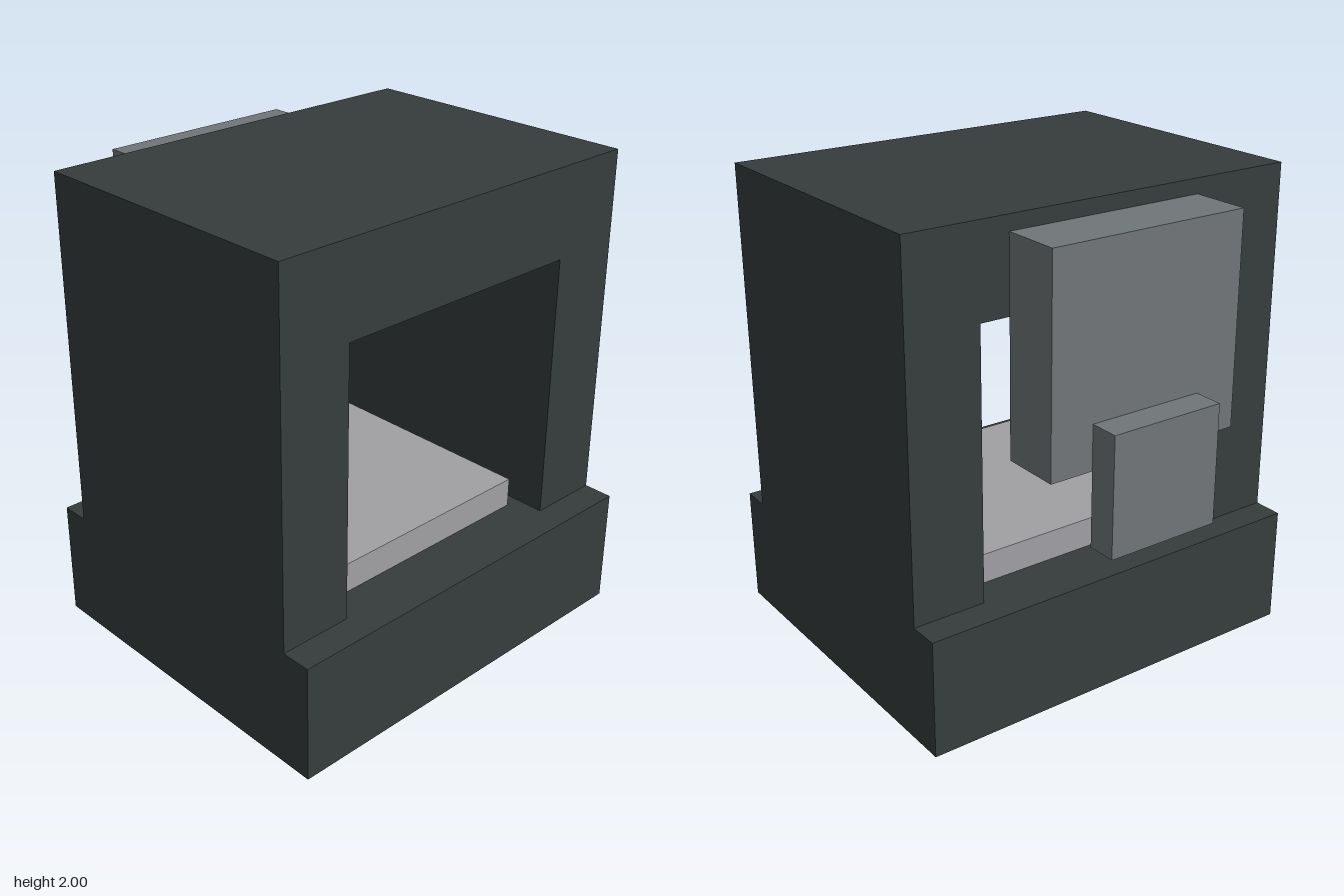
import * as THREE from 'three';

export function createModel() {
  const model = new THREE.Group();
  const material = (name, color) => {
    const m = new THREE.MeshStandardMaterial({ color });
    m.name = name;
    return m;
  };
  const dark = material('darkHousing', 0x363c3c);
  const grey = material('midGrey', 0x707577);
  const light = material('lightGrey', 0xa0a0a4);

  const add = (name, geometry, mat) => {
    const mesh = new THREE.Mesh(geometry, mat);
    mesh.name = name;
    model.add(mesh);
  };
  // Box given by its half width and its y and z ranges, centred on x
  const slab = (name, halfW, y0, y1, z0, z1, mat) => {
    const g = new THREE.BoxGeometry(halfW * 2, y1 - y0, z1 - z0);
    g.translate(0, (y0 + y1) / 2, (z0 + z1) / 2);
    add(name, g, mat);
  };

  // Base block
  slab('base', 0.875, 0, 0.5, -0.625, 0.875, dark);

  // Arch: two walls and a roof in one extruded outline
  const arch = new THREE.Shape([
    [-0.875, 0.5], [-0.5625, 0.5], [-0.5625, 1.625], [0.5625, 1.625],
    [0.5625, 0.5], [0.875, 0.5], [0.875, 2], [-0.875, 2],
  ].map(([x, y]) => new THREE.Vector2(x, y)));
  const archGeometry = new THREE.ExtrudeGeometry(arch, { depth: 1.25, bevelEnabled: false });
  archGeometry.translate(0, 0, -0.5);
  add('archFrame', archGeometry, dark);

  // Bed inside the opening
  slab('bed', 0.5, 0.5, 0.625, -0.375, 0.625, light);

  // Stepped boxes on the back
  slab('rearHousing', 0.4375, 1.0625, 1.9375, -0.75, -0.5, grey);
  slab('rearBox', 0.25, 0.75, 1.25, -0.875, -0.75, grey);

  return model;
}
